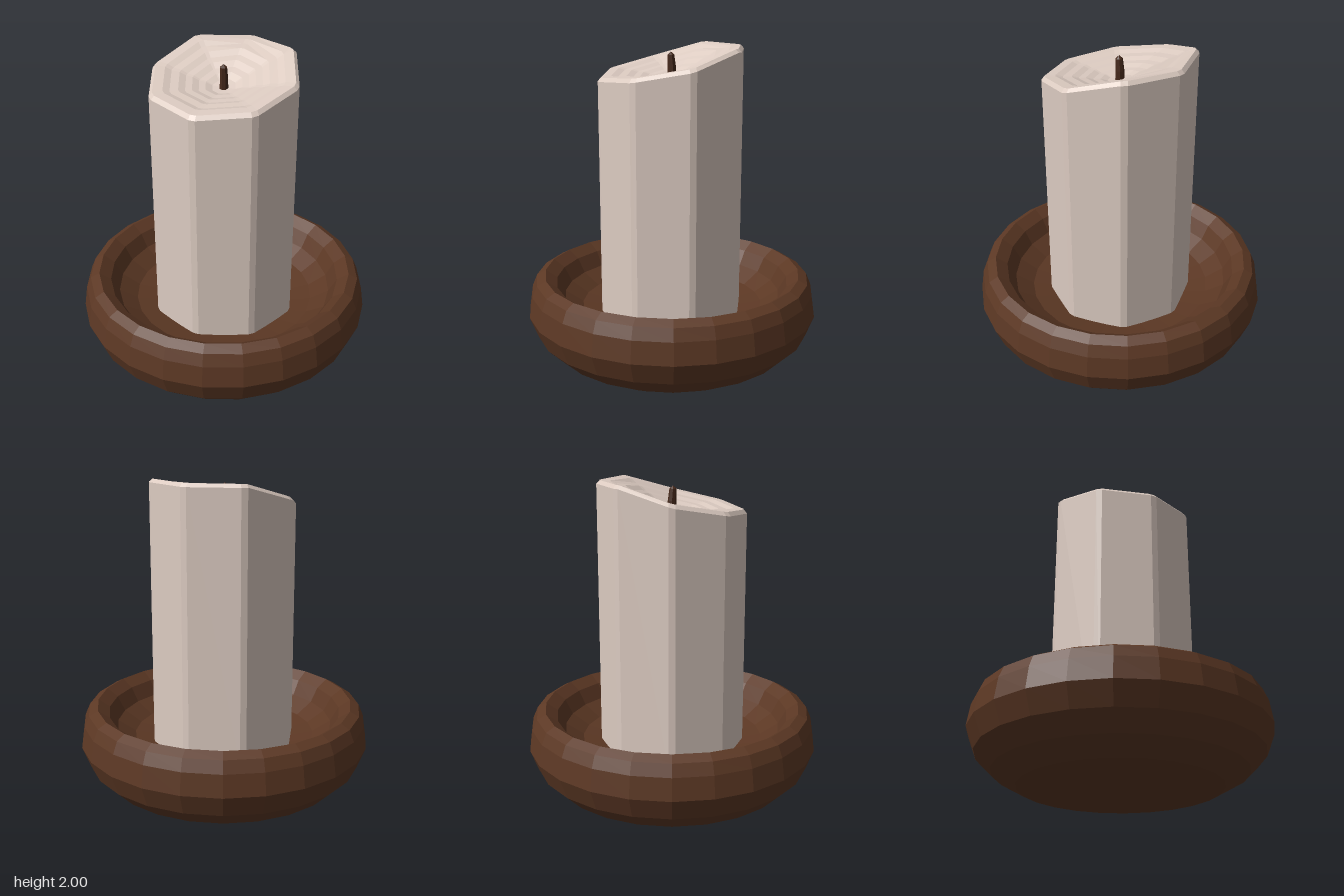
import * as THREE from 'three';

const wood = new THREE.MeshStandardMaterial({ color: 0x5c3824, flatShading: true });
wood.name = 'dark wood';
const wax = new THREE.MeshStandardMaterial({ color: 0xdccbc1, flatShading: true });
wax.name = 'pale wax';
const char = new THREE.MeshStandardMaterial({ color: 0x46291b, flatShading: true });
char.name = 'charred wick';

const lathe = (profile, sides) =>
  new THREE.LatheGeometry(profile.map(([r, y]) => new THREE.Vector2(r, y)), sides);

function addMesh(group, name, geometry, material) {
  geometry.computeVertexNormals();
  const mesh = new THREE.Mesh(geometry, material);
  mesh.name = name;
  group.add(mesh);
  return mesh;
}

// Height of the slanted candle top at depth z
function slant(z) {
  if (z < -0.29) return 2;
  return z < 0 ? 1.91 - z * 0.31 : 1.91 - z * 0.19;
}

function makeCandle() {
  // Profile heights above 1 are offsets from the slanted top, stored as 2 + offset
  const profile = [[0, 0.36], [0.445, 0.36], [0.44, 1.98], [0.42, 2]];
  // Terraced rings of melted wax stepping down to the wick
  const rings = [0.36, 0.32, 0.27, 0.23, 0.19, 0.15, 0.11, 0.07];
  let drop = 0;
  rings.forEach((r, i) => {
    drop += i % 2 ? 0.015 : 0.005;
    profile.push([r, 2 - drop]);
  });
  profile.push([0, 2 - drop - 0.005]);

  // Sixteen points gathered in pairs make an octagon with bevelled corners
  const geometry = lathe(profile, 16);
  const p = geometry.attributes.position;
  for (let i = 0; i < p.count; i++) {
    const k = Math.floor(i / profile.length);
    const [r, y] = profile[i % profile.length];
    const a = THREE.MathUtils.degToRad(Math.floor(k / 2) * 45 + (k % 2 ? 2.5 : -2.5));
    const z = r * Math.cos(a);
    p.setXYZ(i, r * Math.sin(a), y > 1 ? slant(z) + y - 2 : y, z);
  }
  return geometry;
}

export function createModel() {
  const group = new THREE.Group();
  group.name = 'candle in bowl';

  // Rounded bowl: outside, rim, then hollow inside
  addMesh(group, 'bowl', lathe([
    [0, 0], [0.38, 0.03], [0.6, 0.08], [0.745, 0.16], [0.845, 0.26],
    [0.895, 0.39], [0.875, 0.52], [0.845, 0.59], [0.79, 0.62],
    [0.72, 0.57], [0.67, 0.48], [0.56, 0.41], [0.4, 0.38], [0, 0.37],
  ], 24), wood);

  addMesh(group, 'candle', makeCandle(), wax);

  // Short wick with a slightly pointed, leaning tip
  const wick = addMesh(group, 'wick', lathe([
    [0, 1.8], [0.027, 1.8], [0.025, 1.88], [0.021, 1.95], [0, 1.968],
  ], 8), char);
  const p = wick.geometry.attributes.position;
  for (let i = 0; i < p.count; i++) {
    if (p.getY(i) > 1.9) p.setZ(i, p.getZ(i) + 0.006);
  }
  return group;
}
